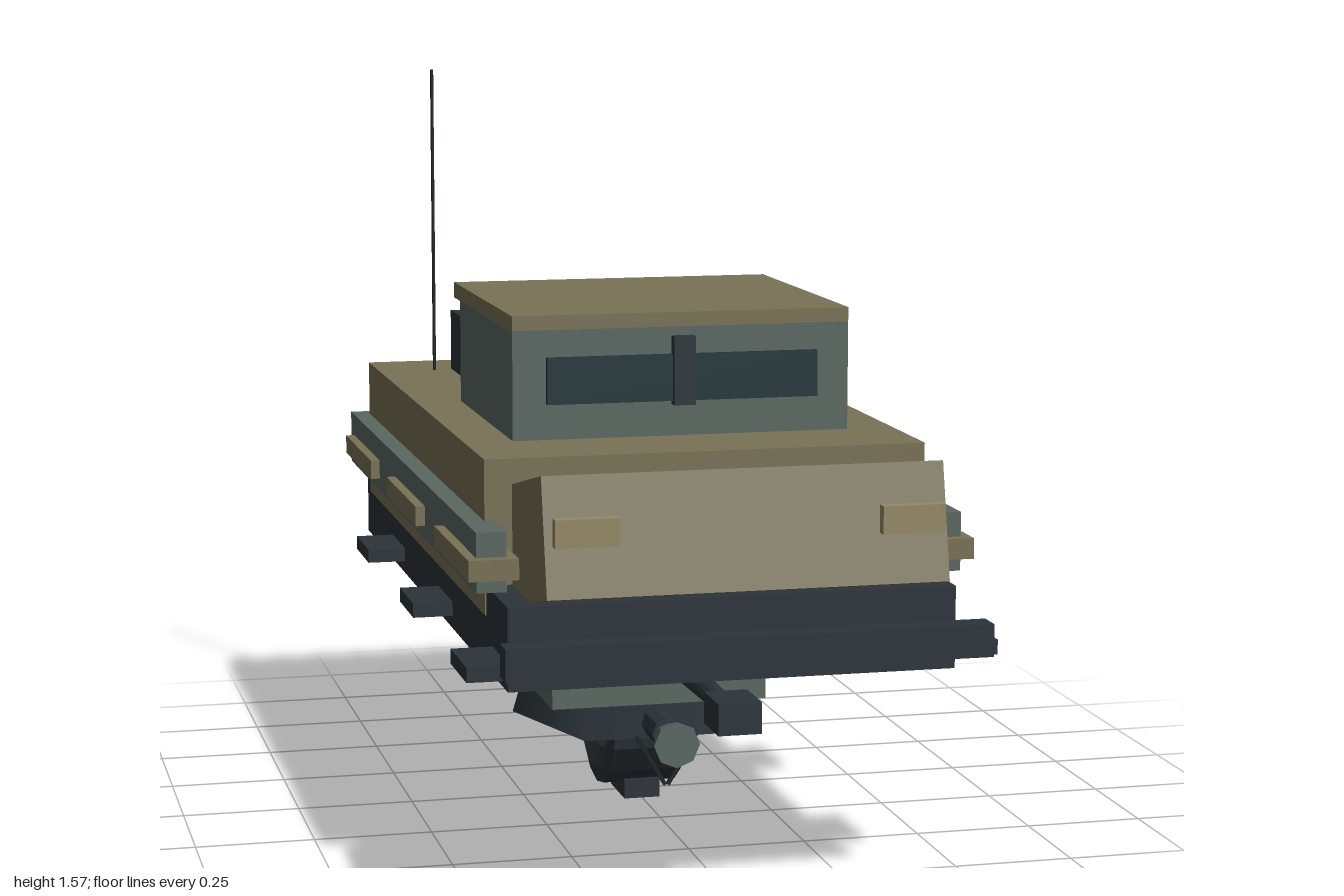
import * as THREE from 'three';

const TAN = 0x797257, TEAL = 0x5a6862, DARK = 0x2b3339, GLASS = 0x20343a;
const HATCH = 0x575039, LAMP = 0x958a66, RED = 0x7a3028, STEEL = 0x1c2226;

export function createModel() {
  const model = new THREE.Group();
  model.name = 'armouredVehicle';

  const add = (name, geometry, color, flatShading = false) => {
    const mesh = new THREE.Mesh(geometry, new THREE.MeshStandardMaterial({ color, flatShading }));
    mesh.name = name;
    model.add(mesh);
    return mesh;
  };
  // Box given by its extents along each axis
  const box = (name, color, [x0, x1], [y0, y1], [z0, z1]) => {
    const mesh = add(name, new THREE.BoxGeometry(x1 - x0, y1 - y0, z1 - z0), color);
    mesh.position.set((x0 + x1) / 2, (y0 + y1) / 2, (z0 + z1) / 2);
    return mesh;
  };
  // Same box on the left and the right
  const pair = (name, color, [x0, x1], y, z) => {
    box(name + 'Left', color, [x0, x1], y, z);
    box(name + 'Right', color, [-x1, -x0], y, z);
  };
  // Round part lying along z, from z0 (radius r0) to z1 (radius r1)
  const rod = (name, color, y, z0, z1, r0, r1, sides) => {
    const g = new THREE.CylinderGeometry(r1, r0, z1 - z0, sides).rotateX(Math.PI / 2);
    const mesh = add(name, g, color, sides < 9);
    mesh.position.set(0, y, (z0 + z1) / 2);
    return mesh;
  };

  // Hull
  box('chassis', DARK, [-0.453, 0.453], [0.443, 0.61], [-0.885, 0.86]);
  box('body', TAN, [-0.456, 0.456], [0.55, 0.864], [-0.827, 0.645]);
  box('bumper', DARK, [-0.485, 0.485], [0.495, 0.56], [0.945, 1]);

  // Hood, tipped up at the nose
  const tilt = 0.22, h = 0.236, d = 0.42;
  const hood = add('hood', new THREE.BoxGeometry(0.8, h, d), TAN);
  hood.rotation.x = -tilt;
  const noseCorner = new THREE.Vector3(0, h / 2, d / 2).applyEuler(hood.rotation);
  hood.position.set(0, 0.875, 0.925).sub(noseCorner);

  // Lights
  pair('headlight', LAMP, [0.26, 0.386], [0.745, 0.8], [0.965, 0.988]);
  pair('tailLight', RED, [0.285, 0.357], [0.582, 0.62], [-1, -0.978]);

  // Side rails, with three pads and three steps each
  pair('sideRail', TEAL, [0.435, 0.495], [0.62, 0.74], [-0.866, 0.763]);
  for (let i = 0; i < 3; i++) {
    const zPad = 0.595 - i * 0.61, zStep = 0.79 - i * 0.61;
    pair('sidePad' + i, TAN, [0.415, 0.515], [0.648, 0.69], [zPad - 0.193, zPad + 0.193]);
    pair('step' + i, DARK, [0.43, 0.537], [0.47, 0.5], [zStep - 0.086, zStep + 0.086]);
  }

  // Cabin
  box('cabin', TEAL, [-0.356, 0.356], [0.85, 1.09], [-0.15, 0.434]);
  box('roof', TAN, [-0.356, 0.356], [1.086, 1.12], [-0.222, 0.434]);
  box('windscreen', GLASS, [-0.286, 0.286], [0.938, 1.034], [0.42, 0.449]);
  box('windscreenPost', DARK, [-0.023, 0.023], [0.93, 1.072], [0.435, 0.46]);

  // Rear deck
  box('hatch', HATCH, [0.08, 0.325], [0.888, 0.948], [-0.645, -0.352]);
  box('equipmentBox', DARK, [-0.296, -0.105], [0.874, 1.012], [-0.602, -0.367]);
  const antenna = add('antenna', new THREE.CylinderGeometry(0.004, 0.004, 0.71, 6), STEEL);
  antenna.position.set(-0.325, 1.215, -0.664);

  // Turret housing and gun beneath the hull
  box('turretCollar', TAN, [-0.175, 0.175], [0.42, 0.446], [-0.225, 0.2]);
  box('turretHousing', TEAL, [-0.236, 0.236], [0.25, 0.434], [-0.268, 0.246]);
  rod('gunBarrelRear', DARK, 0.373, 0.2, 0.54, 0.022, 0.022, 12);
  rod('gunBarrelFront', DARK, 0.375, 0.5, 0.8, 0.026, 0.021, 12);
  box('muzzle', DARK, [-0.044, 0.044], [0.342, 0.406], [0.79, 0.9]);

  // Five-sided flared skirt below the housing
  const skirt = add('skirt', new THREE.CylinderGeometry(0.247, 0.27, 0.08, 5), DARK);
  skirt.rotation.y = Math.PI;
  skirt.position.y = 0.21;

  // Wheel, turned about the x axis
  const tyreProfile = [[0.1, -0.07], [0.15, -0.088], [0.182, -0.08], [0.182, 0.08], [0.15, 0.088], [0.1, 0.07]]
    .map(([r, y]) => new THREE.Vector2(r, y));
  const tyre = add('tyre', new THREE.LatheGeometry(tyreProfile, 16).rotateZ(Math.PI / 2), DARK, true);
  tyre.position.set(0, 0.2, -0.012);
  const hub = add('hub', new THREE.CylinderGeometry(0.102, 0.102, 0.15, 16).rotateZ(Math.PI / 2), 0x434d4b);
  hub.position.copy(tyre.position);
  box('wheelFoot', DARK, [-0.04, 0.04], [0, 0.042], [-0.048, 0.085]);

  // Small horn-shaped nozzle with a pair of thin legs
  rod('nozzleStem', DARK, 0.2, 0.15, 0.31, 0.032, 0.032, 8);
  rod('nozzle', TEAL, 0.197, 0.3, 0.4, 0.022, 0.05, 8);
  for (const side of [-1, 1]) {
    const leg = add(side > 0 ? 'legLeft' : 'legRight', new THREE.BoxGeometry(0.008, 0.125, 0.008), STEEL);
    leg.position.set(side * 0.034, 0.142, 0.306);
    leg.rotation.z = -side * 0.52;
  }

  return model;
}
